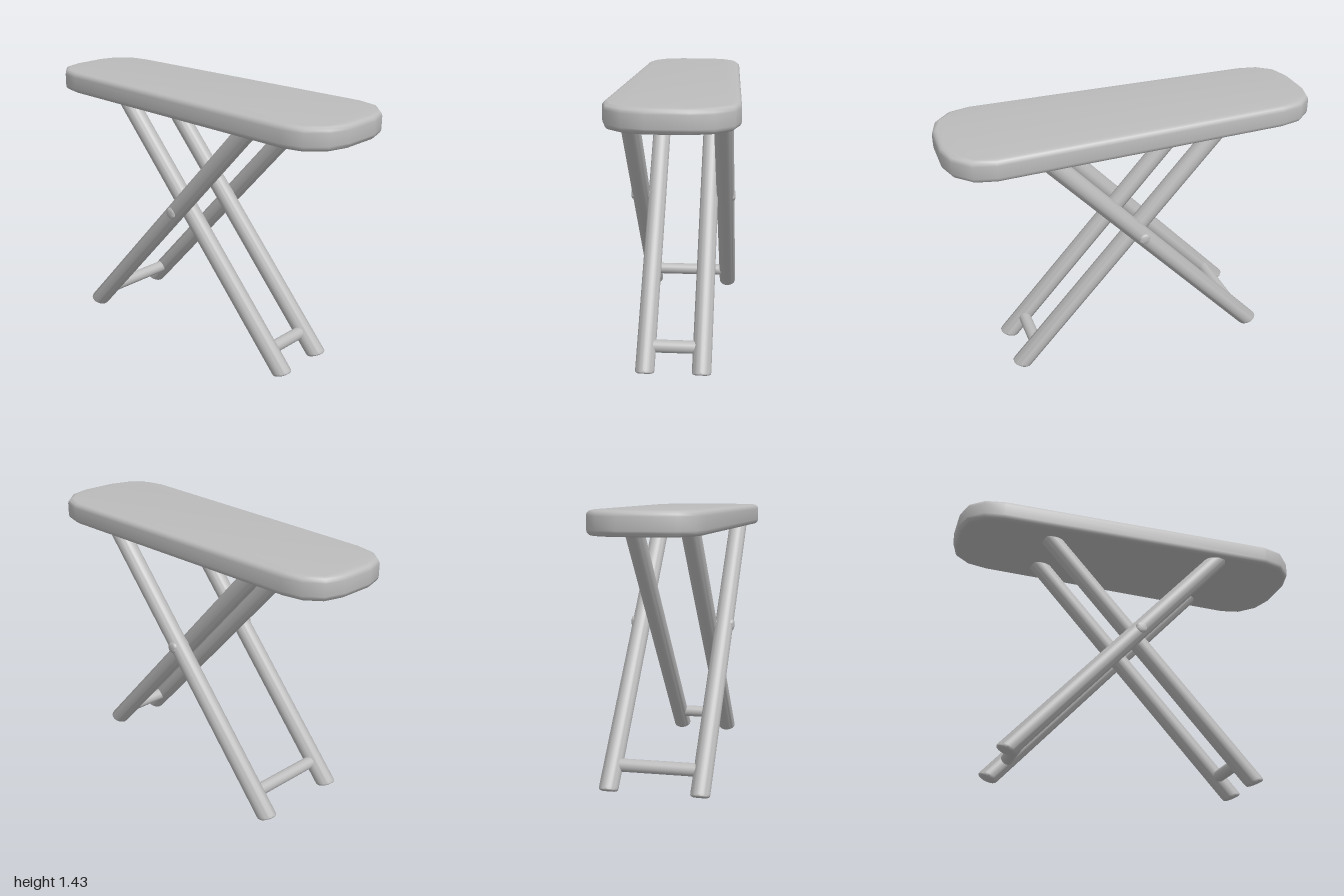
import * as THREE from 'three';
import { toCreasedNormals } from 'three/addons/utils/BufferGeometryUtils.js';

const PIVOT_Y = 0.79, FOOT_X = 0.697, FOOT_Y = 0.022, LEG_R = 0.05, Z_MID = 0.005;
const LEAN = Math.atan(FOOT_X / (PIVOT_Y - FOOT_Y));

export function createModel() {
  const model = new THREE.Group();
  const grey = new THREE.MeshStandardMaterial({ color: 0xbcbcbc });
  grey.name = 'grey';

  function add(name, geometry, x = 0, y = 0, z = 0) {
    const mesh = new THREE.Mesh(toCreasedNormals(geometry, 0.9), grey);
    mesh.name = name;
    mesh.position.set(x, y, z);
    model.add(mesh);
    return mesh;
  }

  // Padded board, slightly wider at +x, with rounded edges
  const half = [[1, 0.1], [0.967, 0.21], [0.883, 0.297], [0.77, 0.325],
    [-0.78, 0.285], [-0.89, 0.262], [-0.97, 0.195], [-1, 0.09]];
  const outline = [...half, ...half.map(([x, z]) => [x, -z]).reverse()];
  const bevel = 0.028;
  const shape = new THREE.Shape(outline.map(([x, z]) => new THREE.Vector2(x, z)));
  const board = new THREE.ExtrudeGeometry(shape, {
    depth: 0.12 - 2 * bevel, bevelThickness: bevel, bevelSize: bevel,
    bevelOffset: -bevel, bevelSegments: 4,
  });
  board.rotateX(-Math.PI / 2);
  add('board', board, 0, 1.32 + bevel, 0);

  // Round leg with a softened, slanted foot
  function legGeometry(side) {
    const profile = [[0, 0], [0.036, 0], [0.044, 0.003], [0.049, 0.009], [LEG_R, 0.018], [LEG_R, 1.78], [0, 1.78]]
      .map(([r, y]) => new THREE.Vector2(r, y));
    const geometry = new THREE.LatheGeometry(profile, 28);
    const p = geometry.attributes.position;
    for (let i = 0; i < p.count; i++) {
      if (p.getY(i) < 0.1) p.setY(i, p.getY(i) - 0.34 * side * p.getX(i));
    }
    return geometry;
  }

  // Rod along z
  const rod = (radius, length) => new THREE.CylinderGeometry(radius, radius, length, 20).rotateX(Math.PI / 2);

  // Inner pair stands at +x, outer pair at -x
  for (const [pair, side, spread] of [['inner', 1, 0.146], ['outer', -1, 0.237]]) {
    for (const end of [1, -1]) {
      const leg = add(pair + (end > 0 ? 'FrontLeg' : 'BackLeg'), legGeometry(side),
        side * FOOT_X, FOOT_Y, Z_MID + end * spread);
      leg.rotation.z = side * LEAN;
    }
    // Crossbar joining the pair near the feet
    const barY = 0.131;
    add(pair + 'Crossbar', rod(0.034, spread * 2), side * (PIVOT_Y - barY) * Math.tan(LEAN), barY, Z_MID);
  }

  // Pivot pins with rounded heads, where the legs cross
  for (const end of [1, -1]) {
    const profile = [[0, 0], [0.031, 0], [0.031, 0.138], [0.028, 0.143], [0.022, 0.146], [0, 0.146]]
      .map(([r, y]) => new THREE.Vector2(r, y));
    const pin = add(end > 0 ? 'frontPivotPin' : 'backPivotPin', new THREE.LatheGeometry(profile, 20),
      0, PIVOT_Y, Z_MID + end * 0.146);
    pin.rotation.x = end * Math.PI / 2;
  }

  return model;
}
